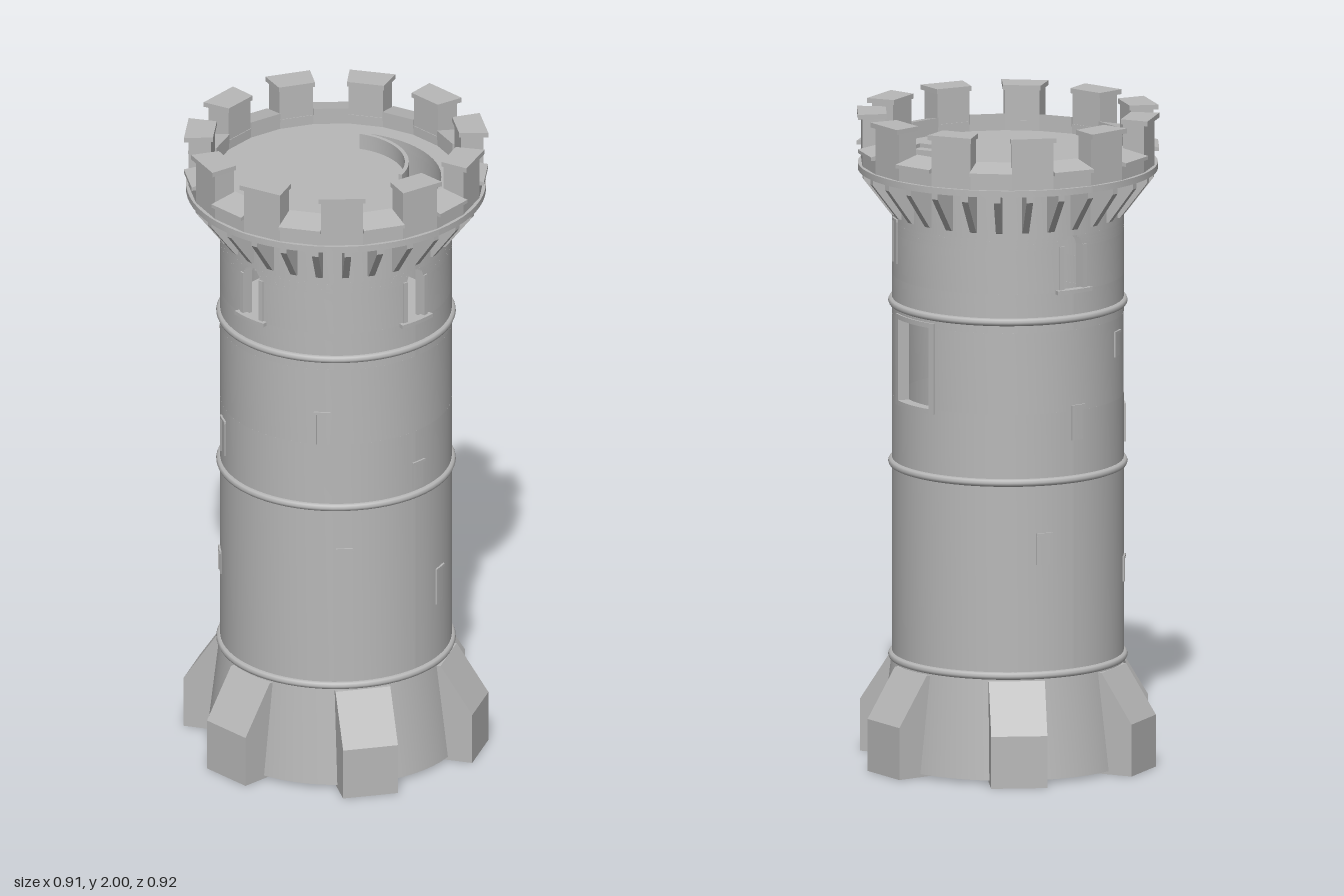
import * as THREE from 'three';
import { toCreasedNormals, mergeGeometries } from 'three/addons/utils/BufferGeometryUtils.js';

const RAD = Math.PI / 180;
const R_IN = 0.32, R_OUT = 0.35;

// Points on an arc; azimuth in degrees, 0 = front (+z), 90 = +x
function arc(r, a0, a1, segs) {
  return Array.from({ length: segs + 1 }, (_, i) => {
    const t = (a0 + (a1 - a0) * i / segs - 90) * RAD;
    return new THREE.Vector2(r * Math.cos(t), r * Math.sin(t));
  });
}

// Outline of a ring sector
function sectorPoints(r0, r1, a0, a1, segs) {
  return [...arc(r1, a0, a1, segs), ...arc(r0, a1, a0, segs)];
}

// Flat shape raised from y0 to y1
function raise(shape, y0, y1) {
  const g = new THREE.ExtrudeGeometry(shape, { depth: y1 - y0, bevelEnabled: false, curveSegments: 64 });
  g.rotateX(-Math.PI / 2).translate(0, y0, 0);
  return toCreasedNormals(g, 0.2);
}

function sector(r0, r1, a0, a1, y0, y1, segs = Math.max(1, Math.ceil((a1 - a0) / 5))) {
  return raise(new THREE.Shape(sectorPoints(r0, r1, a0, a1, segs)), y0, y1);
}

// Wall course with openings given as [azimuth, half width in degrees]
function course(y0, y1, gaps = [[0, 0], [180, 0]]) {
  return gaps.map(([a, h], i) => {
    const [b, k] = gaps[(i + 1) % gaps.length];
    const end = (i + 1 < gaps.length ? b : b + 360) - k;
    return sector(R_IN, R_OUT, a + h, end, y0, y1);
  });
}

export function createModel() {
  const stone = new THREE.MeshStandardMaterial({ color: 0xb8b8b8 });
  stone.name = 'grey stone';
  const tower = new THREE.Group();
  tower.name = 'tower';
  const add = (name, parts) => {
    const list = Array.isArray(parts) ? parts : [parts];
    const mesh = new THREE.Mesh(list.length > 1 ? mergeGeometries(list) : list[0], stone);
    mesh.name = name;
    tower.add(mesh);
    return mesh;
  };

  // Flared hollow base
  const profile = [[0.345, 0.33], [0.345, 0.01], [0.388, 0.01], [0.352, 0.32], [0.345, 0.33]];
  add('baseSkirt', toCreasedNormals(
    new THREE.LatheGeometry(profile.map(p => new THREE.Vector2(...p)), 64), 0.4));

  // Six sloped buttresses
  const side = new THREE.Shape([[0.34, 0], [0.455, 0], [0.455, 0.16], [0.355, 0.31], [0.34, 0.31]]
    .map(p => new THREE.Vector2(...p)));
  const buttress = new THREE.ExtrudeGeometry(side, { depth: 0.17, bevelEnabled: false });
  buttress.translate(0, 0, -0.085);
  add('buttresses', Array.from({ length: 6 }, (_, i) => buttress.clone().rotateY(i * 60 * RAD)));

  // Shaft wall, with a doorway and three arched windows
  const windows = [0, 180, 270], half = 5.5;
  const wall = [
    ...course(0.31, 1.13), ...course(1.13, 1.38, [[90, 13.2]]), ...course(1.38, 1.5),
    ...course(1.5, 1.635, windows.map(a => [a, half]))];
  const slices = 6, rise = 0.035;
  for (let i = 0; i < slices; i++) {
    const w = half * Math.sqrt(1 - ((i + 0.5) / slices) ** 2);
    wall.push(...course(1.635 + rise * i / slices, 1.635 + rise * (i + 1) / slices, windows.map(a => [a, w])));
  }
  wall.push(...course(1.67, 1.83));
  add('shaftWall', wall);

  // Rounded string courses
  for (const y of [0.325, 0.92, 1.415]) {
    add('stringCourse', new THREE.TorusGeometry(0.35, 0.012, 8, 64).rotateX(Math.PI / 2).translate(0, y, 0));
  }

  // Window sills and jambs
  for (const a of windows) {
    add('windowFrame', [
      sector(0.34, 0.366, a - 10, a + 10, 1.495, 1.507),
      sector(0.34, 0.355, a - 8, a - half, 1.507, 1.64),
      sector(0.34, 0.355, a + half, a + 8, 1.507, 1.64)]);
  }

  // Doorway surround
  add('doorwayFrame', [
    sector(0.34, 0.356, 73.5, 76.8, 1.115, 1.395), sector(0.34, 0.356, 103.2, 106.5, 1.115, 1.395),
    sector(0.34, 0.356, 76.8, 103.2, 1.115, 1.13), sector(0.34, 0.356, 76.8, 103.2, 1.38, 1.395)]);

  // Narrow blind slits scattered round the shaft: azimuth, height, length
  const slits = [[70, 1.61, 0.13], [310, 1.18, 0.1], [2, 0.98, 0.08], [321, 0.71, 0.13], [20, 0.57, 0.11],
    [216, 1.3, 0.07], [183, 1.09, 0.1], [241, 1.03, 0.11], [164, 0.71, 0.09], [232, 0.59, 0.07]];
  add('slits', slits.flatMap(([a, y, h]) => [
    sector(0.345, 0.352, a - 3, a + 3, y - h / 2, y + h / 2),
    sector(0.345, 0.356, a - 4.2, a - 3, y - h / 2, y + h / 2),
    sector(0.345, 0.356, a - 4.2, a + 4.2, y + h / 2, y + h / 2 + 0.008)]));

  // Floors: top height, radius, start of the stair hole
  const floors = [[0.34, 0.325, null], [0.92, 0.325, 10], [1.415, 0.325, 240], [1.86, 0.38, 22]];
  floors.forEach(([y, r, a], i) => {
    const shape = new THREE.Shape().absarc(0, 0, r, 0, Math.PI * 2, false);
    if (a !== null) shape.holes.push(new THREE.Path(sectorPoints(0.22, 0.318, a, a + 95, 20)));
    add('floor', raise(shape, y - 0.03, y));
    if (a === null) return;
    // Curved flight climbing to this floor
    const y0 = floors[i - 1][0], count = Math.round((y - y0) / 0.0245);
    add('stairs', Array.from({ length: count }, (_, s) => {
      const top = y - (y - y0) * (s + 0.5) / count;
      return sector(0.22, 0.321, a + s * 6.5, a + (s + 1) * 6.5, top - 0.05, top);
    }));
  });
  add('stairRail', sector(0.208, 0.22, 22, 117, 1.85, 1.91));

  // Corbels beneath the parapet
  const wedge = new THREE.Shape([[0.34, 1.685], [0.358, 1.69], [0.442, 1.8], [0.442, 1.83], [0.34, 1.83]]
    .map(p => new THREE.Vector2(...p)));
  const corbel = new THREE.ExtrudeGeometry(wedge, { depth: 0.02, bevelEnabled: false });
  corbel.translate(0, 0, -0.01);
  add('corbels', Array.from({ length: 28 }, (_, i) =>
    corbel.clone().rotateY(Math.PI / 2 + i * Math.PI * 2 / 28)));

  // Round ledge and the faceted parapet
  add('ledge', [0, 180].map(a => sector(0.34, 0.453, a, a + 180, 1.82, 1.84)));
  const step = 360 / 22;
  const parapet = [], sills = [], merlons = [], caps = [];
  for (let i = 0; i < 22; i++) {
    const a = i * step, b = a + step;
    parapet.push(sector(0.375, 0.446, a, b, 1.83, 1.89, 1));
    if (i % 2) {
      merlons.push(sector(0.377, 0.446, a, b, 1.88, 1.985, 1));
      caps.push(sector(0.372, 0.46, a - 0.7, b + 0.7, 1.985, 2, 1));
    } else {
      // Sill sloping outward between merlons
      const sill = sector(0.372, 0.46, a, b, 1.882, 1.912, 1);
      const p = sill.attributes.position;
      for (let v = 0; v < p.count; v++) {
        if (p.getY(v) > 1.9 && Math.hypot(p.getX(v), p.getZ(v)) > 0.42) p.setY(v, 1.893);
      }
      sill.computeVertexNormals();
      sills.push(sill);
    }
  }
  add('parapet', parapet);
  add('sills', sills);
  add('merlons', merlons);
  add('merlonCaps', caps);

  return tower;
}
